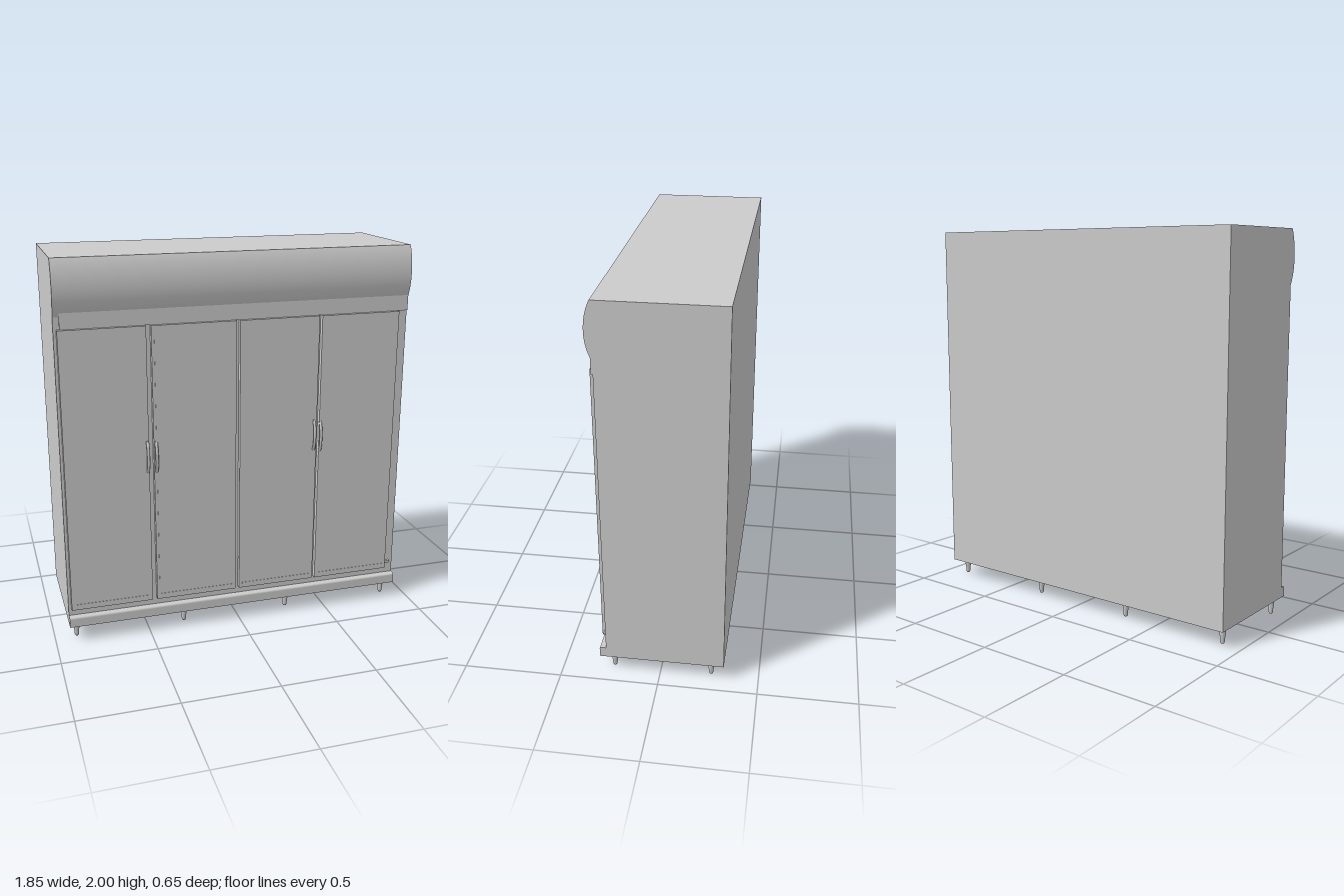
import * as THREE from 'three';

const mat = new THREE.MeshStandardMaterial({ color: 0xcccccc });
const W = 1.85;

export function createModel() {
  const root = new THREE.Group();
  const add = (name, geo, x = 0, y = 0, z = 0, parent = root) => {
    const m = new THREE.Mesh(geo, mat);
    m.name = name;
    m.position.set(x, y, z);
    parent.add(m);
    return m;
  };
  // box given by its limits
  const box = (name, x0, x1, y0, y1, z0, z1, parent) =>
    add(name, new THREE.BoxGeometry(x1 - x0, y1 - y0, z1 - z0),
      (x0 + x1) / 2, (y0 + y1) / 2, (z0 + z1) / 2, parent);

  // Cabinet: side profile (z, y) with bulging canopy and rounded plinth, run across the width
  const s = new THREE.Shape();
  s.moveTo(-0.325, 0.085);
  s.lineTo(0.308, 0.085);
  s.lineTo(0.308, 0.128);
  s.quadraticCurveTo(0.308, 0.14, 0.296, 0.14);
  s.lineTo(0.275, 0.14);
  s.lineTo(0.275, 1.72);
  s.lineTo(0.284, 1.74);
  s.bezierCurveTo(0.318, 1.81, 0.317, 1.92, 0.277, 2);
  s.lineTo(-0.325, 2);
  s.closePath();
  const cabinet = new THREE.ExtrudeGeometry(s, { depth: W, bevelEnabled: false, curveSegments: 20 });
  cabinet.rotateY(-Math.PI / 2); // profile x -> z, depth -> -x
  cabinet.translate(W / 2, 0, 0);
  // smooth the normals of the canopy curve only
  const p = cabinet.attributes.position, n = cabinet.attributes.normal;
  const curve = new THREE.CubicBezierCurve(new THREE.Vector2(0.284, 1.74), new THREE.Vector2(0.318, 1.81),
    new THREE.Vector2(0.317, 1.92), new THREE.Vector2(0.277, 2));
  for (let i = 0; i < p.count; i++) {
    if (Math.abs(n.getX(i)) > 0.5 || n.getZ(i) < 0.3 || p.getY(i) < 1.739) continue;
    if (p.getY(i) < 1.741 && n.getY(i) < -0.43) continue;
    let best = 0, gap = 9;
    for (let k = 0; k <= 20; k++) {
      const d = Math.abs(curve.getPoint(k / 20).y - p.getY(i));
      if (d < gap) { gap = d; best = k / 20; }
    }
    const t = curve.getTangent(best);
    n.setXYZ(i, 0, -t.x, t.y);
  }
  add('cabinet', cabinet);
  box('headerPanel', -0.895, 0.925, 1.66, 1.745, 0.26, 0.284);

  // Doors, each a slab with a fine raised bottom rail
  const doors = [[-0.91, -0.48], [-0.455, -0.02], [0, 0.425], [0.44, 0.87]];
  doors.forEach(([x0, x1], i) => {
    const door = new THREE.Group();
    door.name = 'door' + (i + 1);
    root.add(door);
    box('doorPanel', x0, x1, 0.18, 1.66, 0.27, 0.302, door);
    box('bottomRail', x0 + 0.018, x1 - 0.018, 0.202, 0.211, 0.3, 0.304, door);
  });
  box('doorEdgeTrim', -0.441, -0.434, 0.205, 1.64, 0.3, 0.304);
  box('lowerHinge', 0.878, 0.902, 0.204, 0.216, 0.27, 0.29);

  // Bowed handles in two pairs
  const handle = (x, y) => {
    const g = new THREE.Group();
    g.name = 'handle';
    g.position.set(x, y, 0);
    root.add(g);
    const path = new THREE.CatmullRomCurve3([[-0.085, 0.298], [-0.06, 0.312], [0, 0.32], [0.06, 0.312], [0.085, 0.298]]
      .map(([py, pz]) => new THREE.Vector3(0, py, pz)));
    const grip = new THREE.TubeGeometry(path, 24, 0.006, 10);
    grip.scale(1.35, 1, 1);
    add('grip', grip, 0, 0, 0, g);
    for (const e of [-1, 1]) box('handleMount', -0.007, 0.007, e * 0.078 - 0.009, e * 0.078 + 0.009, 0.295, 0.306, g);
  };
  handle(-0.487, 0.985);
  handle(-0.443, 0.982);
  handle(0.41, 1.02);
  handle(0.445, 1.01);

  // Tapered feet with rounded tips
  const foot = new THREE.LatheGeometry([[0, 0], [0.008, 0], [0.011, 0.006], [0.0125, 0.025], [0.0165, 0.06], [0.0165, 0.09]]
    .map(([r, y]) => new THREE.Vector2(r, y)), 16);
  for (const x of [-0.885, -0.298, 0.29, 0.878])
    for (const z of [0.24, -0.258]) add('foot', foot, x, 0, z);

  return root;
}
